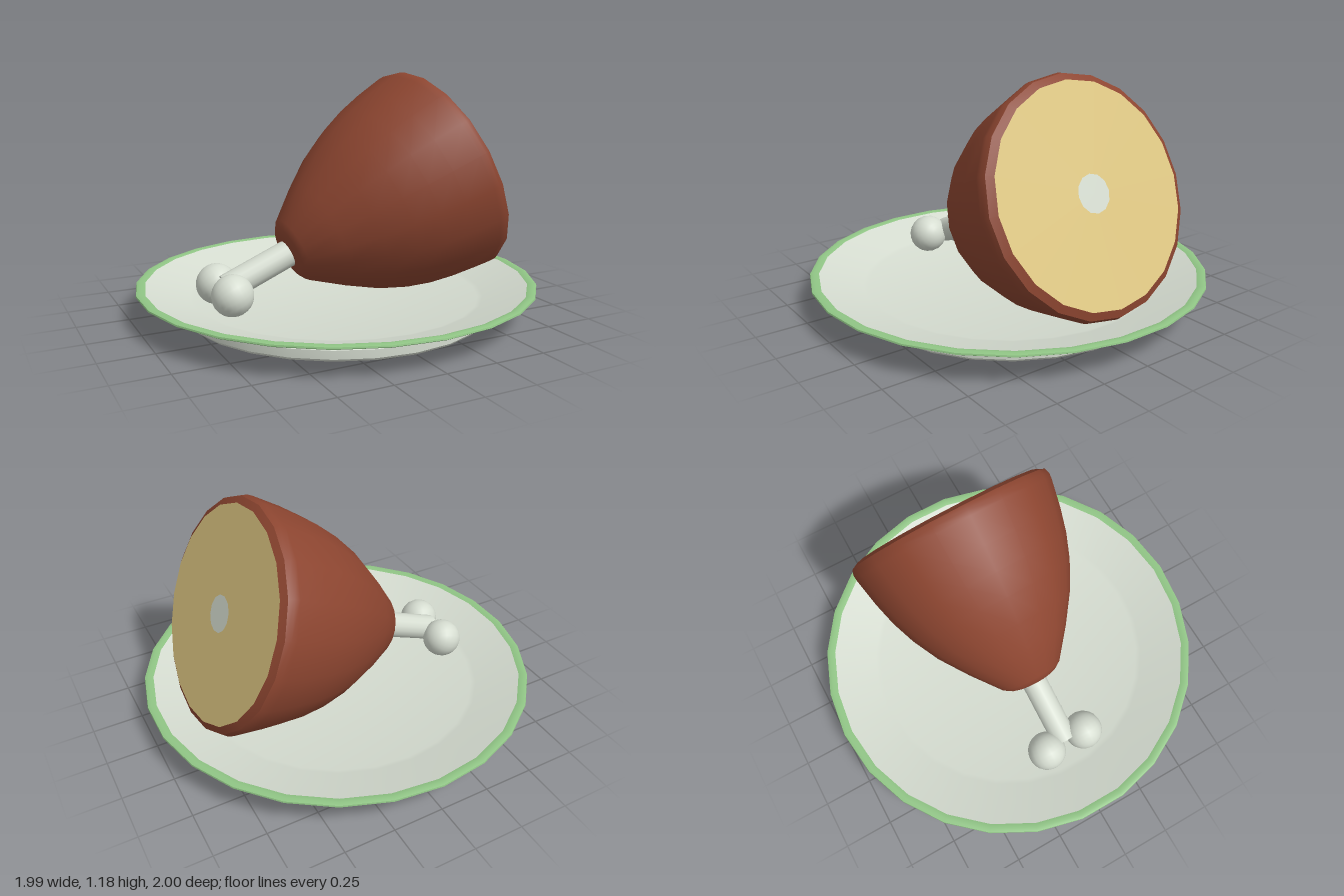
import * as THREE from 'three';
import { toCreasedNormals } from 'three/addons/utils/BufferGeometryUtils.js';

const paint = (name, color) => {
  const m = new THREE.MeshStandardMaterial({ color });
  m.name = name;
  return m;
};

export function createModel() {
  const roast = paint('roasted skin', 0x8c4530);
  const fat = paint('cut meat', 0xdec782);
  const bone = paint('bone and china', 0xd5dcd0);
  const green = paint('green glaze', 0x90c585);

  const model = new THREE.Group();
  model.name = 'hamOnPlate';

  const add = (parent, name, geometry, material, x = 0, y = 0, z = 0) => {
    const mesh = new THREE.Mesh(geometry, material);
    mesh.name = name;
    mesh.position.set(x, y, z);
    parent.add(mesh);
    return mesh;
  };
  const lathe = (profile, sides, crease) => toCreasedNormals(
    new THREE.LatheGeometry(profile.map(([r, y]) => new THREE.Vector2(r, y)), sides), crease);

  // Plate: foot and sloping underside, glazed rim, then the dished top
  const plate = new THREE.Group();
  plate.name = 'plate';
  model.add(plate);
  add(plate, 'plateUnderside', lathe([
    [0, 0], [0.765, 0], [0.775, 0.012], [0.775, 0.052], [0.765, 0.062], [0.74, 0.066], [0.99, 0.139],
  ], 26, 0.5), bone);
  add(plate, 'plateRim', lathe([
    [0.99, 0.139], [1, 0.145], [0.998, 0.152], [0.98, 0.157], [0.955, 0.15],
  ], 26, 0.6), green);
  add(plate, 'plateTop', lathe([
    [0.955, 0.15], [0.74, 0.082], [0.715, 0.075], [0, 0.075],
  ], 26, 0.3), bone);

  // Ham: local y runs along the bone, with the cut face at y = 0
  const ham = new THREE.Group();
  ham.name = 'ham';
  ham.position.set(0.62, 0.672, -0.01);
  ham.rotation.set(0, 0.014, THREE.MathUtils.degToRad(22.5 - 90));
  model.add(ham);
  add(ham, 'hamSkin', lathe([
    [0, -0.962], [0.105, -0.96], [0.135, -0.95], [0.168, -0.927], [0.286, -0.772], [0.387, -0.622],
    [0.457, -0.481], [0.503, -0.354], [0.535, -0.225], [0.562, -0.075], [0.564, -0.045],
    [0.555, -0.018], [0.52, 0],
  ], 20, 0.55), roast);
  add(ham, 'cutFace', new THREE.CircleGeometry(0.52, 20).rotateX(-Math.PI / 2), fat);
  add(ham, 'cutBone', new THREE.CircleGeometry(0.09, 12).rotateX(-Math.PI / 2), bone, 0, 0.003, 0);

  // Bone handle with its two knuckles
  add(ham, 'boneShaft', new THREE.CylinderGeometry(0.067, 0.067, 0.41, 16), bone, 0, -1.105, 0);
  for (const side of [-1, 1]) {
    add(ham, 'boneKnuckle', new THREE.SphereGeometry(0.1, 20, 14), bone, 0, -1.32, side * 0.112);
  }
  return model;
}
